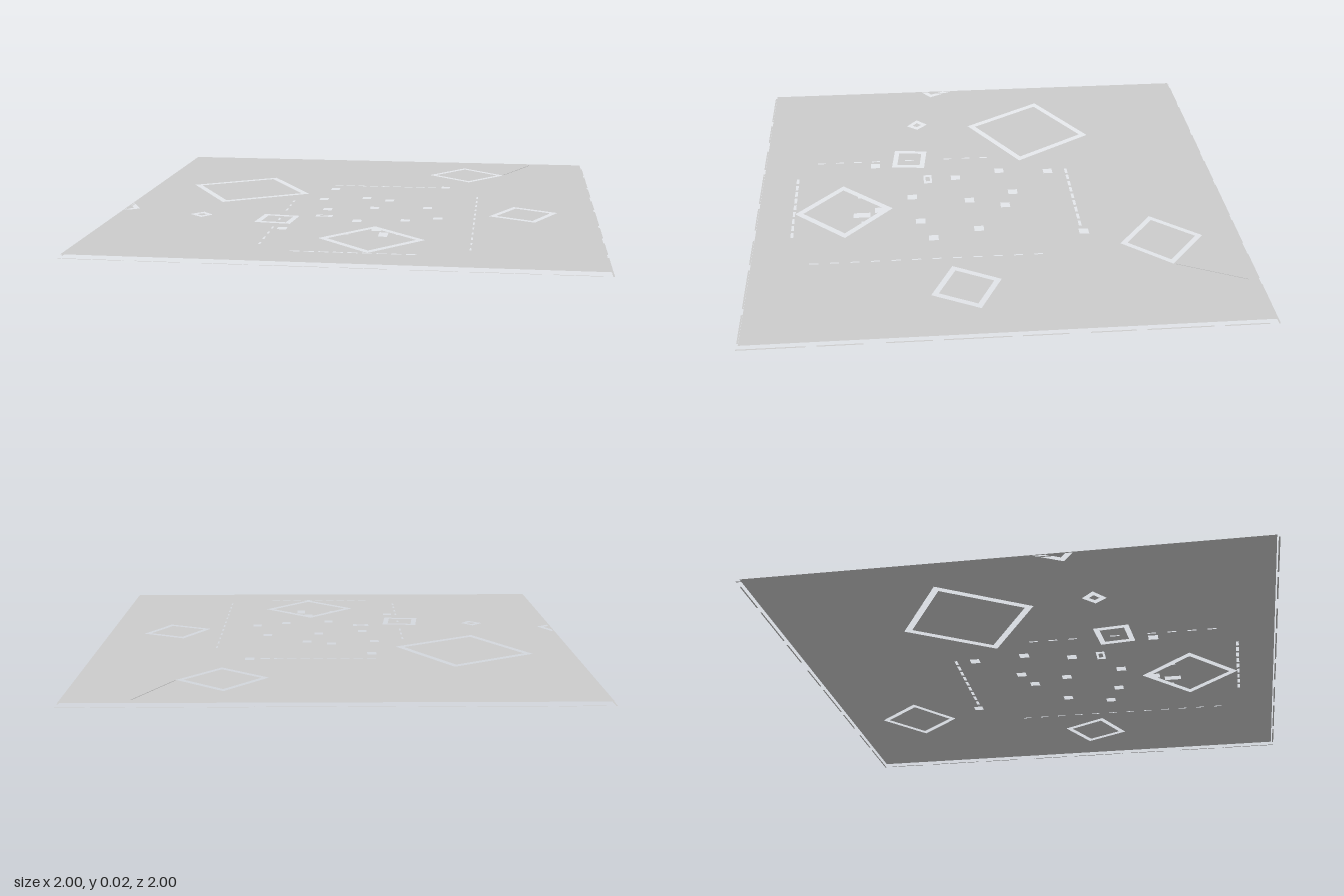
import * as THREE from 'three';

const LEVEL = 0.014;
const material = new THREE.MeshStandardMaterial({ color: 0xcccccc, side: THREE.DoubleSide, flatShading: true });

// Plan points are [x, z]; shapes are drawn in x / -z and laid flat.
const toVectors = (points) => points.map(([x, z]) => new THREE.Vector2(x, -z));
const rect = (x, z, w, d) => [
  [x - w / 2, z - d / 2], [x + w / 2, z - d / 2], [x + w / 2, z + d / 2], [x - w / 2, z + d / 2],
];

// Shrinks a quad towards its centre by a border width.
function inset(quad, border) {
  const cx = quad.reduce((s, p) => s + p[0], 0) / 4;
  const cz = quad.reduce((s, p) => s + p[1], 0) / 4;
  const a = Math.hypot(quad[1][0] - quad[0][0], quad[1][1] - quad[0][1]);
  const b = Math.hypot(quad[2][0] - quad[1][0], quad[2][1] - quad[1][1]);
  const k = 1 - (2 * border) / Math.min(a, b);
  return quad.map(([x, z]) => [cx + (x - cx) * k, cz + (z - cz) * k]);
}

function flatPart(name, outline, holes, y) {
  const shape = new THREE.Shape(toVectors(outline));
  shape.holes = holes.map((h) => new THREE.Path(toVectors(h)));
  const mesh = new THREE.Mesh(new THREE.ShapeGeometry(shape).rotateX(-Math.PI / 2), material);
  mesh.name = name;
  mesh.position.y = y;
  return mesh;
}

// Building plots: outer corners of the surrounding slot, slot width, holes within
const plots = [
  { name: 'largePlot', quad: [[-0.475, -0.495], [-0.26, -0.153], [-0.607, 0.06], [-0.82, -0.286]], border: 0.026 },
  { name: 'backPlot', quad: [[0.414, -0.84], [0.607, -0.68], [0.447, -0.495], [0.254, -0.65]], border: 0.021 },
  { name: 'leftPlot', quad: [[0.655, 0.008], [0.837, 0.1], [0.74, 0.286], [0.553, 0.195]], border: 0.022 },
  {
    name: 'frontPlot', quad: [[0.104, 0.425], [0.318, 0.623], [0.12, 0.837], [-0.094, 0.639]],
    // island outline notched by three post holes
    island: [
      [-0.059, 0.638], [0, 0.574], [0.015, 0.574], [0.015, 0.558], [0.095, 0.471], [0.095, 0.5],
      [0.135, 0.5], [0.135, 0.488], [0.2, 0.547], [0.2, 0.556], [0.21, 0.556], [0.283, 0.624], [0.119, 0.802],
    ],
    holes: [rect(0.15, 0.555, 0.036, 0.07)],
  },
  {
    name: 'smallPlot', quad: [[-0.377, 0.265], [-0.227, 0.281], [-0.243, 0.425], [-0.393, 0.41]], border: 0.022,
    holes: [rect(-0.3, 0.345, 0.008, 0.04)],
  },
  { name: 'tinyPlot', quad: [[-0.639, 0.254], [-0.59, 0.302], [-0.628, 0.35], [-0.687, 0.302]], border: 0.018 },
  { name: 'narrowPlot', quad: rect(-0.126, 0.268, 0.07, 0.036), border: 0.009 },
];

// Square post holes
const posts = [
  [-0.155, -0.27], [0.345, -0.36], [-0.175, -0.053], [0.01, -0.097], [0.115, -0.055], [-0.13, 0.145],
  [0.065, 0.095], [0.29, 0.07], [0.215, 0.31], [0.345, 0.26], [0.02, 0.34], [-0.26, 0.5],
];

export function createModel() {
  const group = new THREE.Group();
  group.name = 'groundSheet';

  const cuts = posts.map(([x, z]) => rect(x, z, 0.038, 0.04));

  // Dashed slots around the central yard
  for (let i = 0; i < 9; i++) {
    cuts.push(rect(-0.15 + i * 0.054, -0.352, 0.038, 0.012));
    cuts.push(rect(-0.15 + i * 0.054, 0.84, 0.038, 0.012));
  }
  for (let i = 0; i < 12; i++) {
    const z = -0.155 + i * 0.0815;
    cuts.push(rect(0.495, z, 0.007, 0.036));
    const clearOfPlots = z > -0.07 && (z < 0.24 || z > 0.45);
    if (clearOfPlots) cuts.push(rect(-0.3, z, 0.008, 0.036));
  }

  // Bent slot running off the right edge
  cuts.push([[-0.985, 0.12], [-0.928, 0.227], [-0.985, 0.268], [-0.985, 0.24], [-0.957, 0.22], [-0.985, 0.168]]);

  // Main sheet
  cuts.push(...plots.map((p) => p.quad));
  group.add(flatPart('mainSheet', rect(0, 0, 1.98, 1.98), cuts, LEVEL));

  // Islands inside the plot slots
  for (const p of plots) {
    group.add(flatPart(p.name, p.island ?? inset(p.quad, p.border), p.holes ?? [], LEVEL));
  }

  // Broken edging strips on the ground around the sheet
  const edging = new THREE.Group();
  edging.name = 'edging';
  for (let side = 0; side < 4; side++) {
    for (let i = 0; i < 8; i++) {
      const strip = flatPart('edgeStrip', rect(-0.875 + i * 0.25, 0.997, i % 3 ? 0.17 : 0.25, 0.006), [], 0);
      strip.rotation.y = (side * Math.PI) / 2;
      edging.add(strip);
    }
  }
  group.add(edging);

  // Thin crease leading to the back edge
  const crease = new THREE.Mesh(new THREE.BoxGeometry(0.004, 0.002, 0.29), material);
  crease.name = 'crease';
  crease.position.set(0.672, LEVEL + 0.001, -0.82);
  crease.rotation.y = Math.atan2(0.125, -0.26);
  group.add(crease);

  return group;
}
